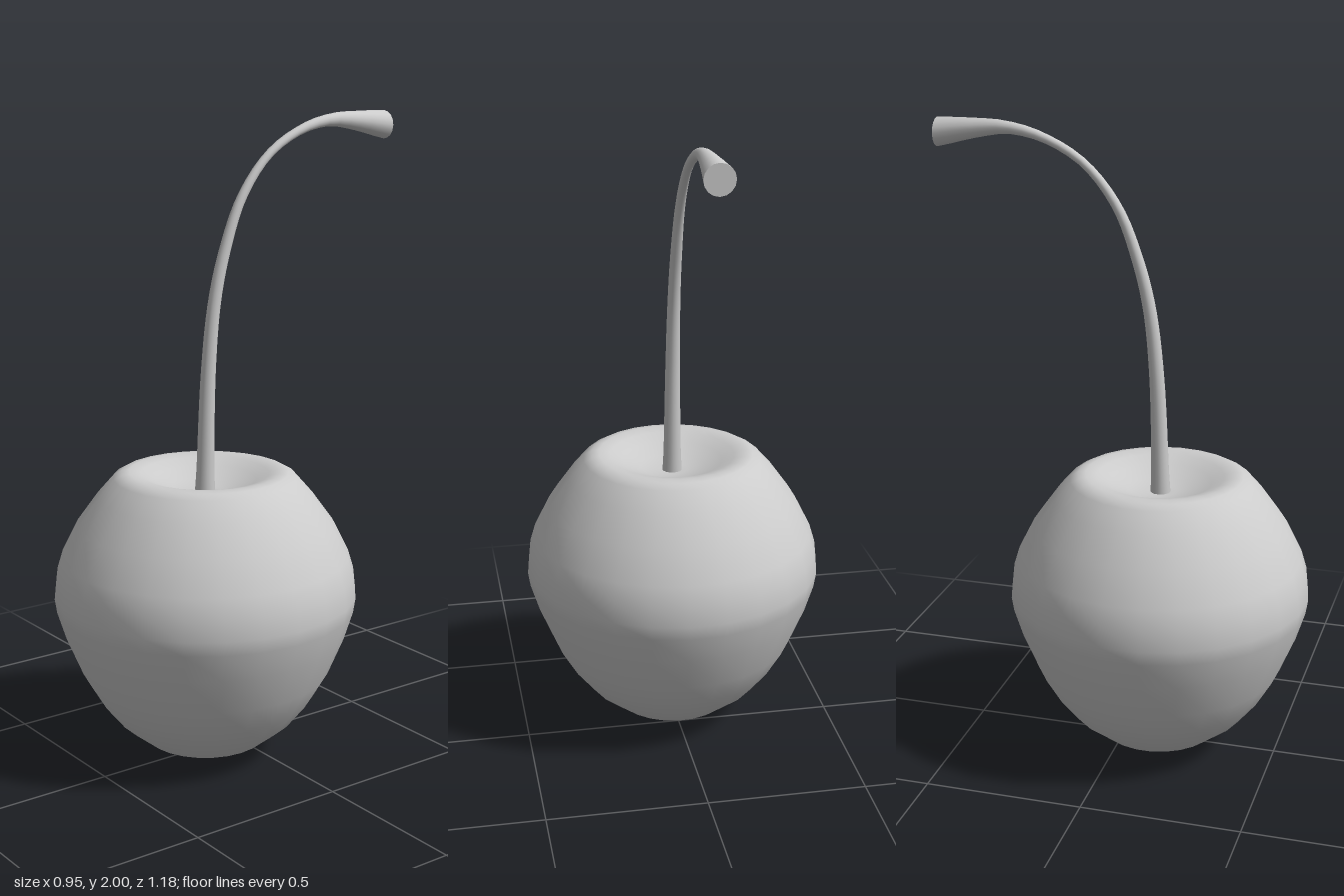
import * as THREE from 'three';

const CENTRE_Z = 0.115;

// Tube along a curve whose radius is interpolated from a list of values
function taperedTube(curve, radii, segments, sides) {
  const geo = new THREE.TubeGeometry(curve, segments, 1, sides, false);
  const pos = geo.attributes.position, nor = geo.attributes.normal;
  const p = new THREE.Vector3(), n = new THREE.Vector3();
  const arc = new THREE.Vector3();
  for (let i = 0; i <= segments; i++) {
    curve.getPointAt(i / segments, arc);
    const t = curve.getUtoTmapping(i / segments) * (radii.length - 1);
    const k = Math.min(Math.floor(t), radii.length - 2);
    const r = THREE.MathUtils.lerp(radii[k], radii[k + 1], t - k);
    for (let j = 0; j <= sides; j++) {
      const v = i * (sides + 1) + j;
      n.fromBufferAttribute(nor, v);
      p.copy(arc).addScaledVector(n, r);
      if (i === segments) p.z = arc.z; // square cut at the tip
      pos.setXYZ(v, p.x, p.y, p.z);
    }
  }
  return geo;
}

export function createModel() {
  const model = new THREE.Group();
  const grey = new THREE.MeshStandardMaterial({ color: 0xcccccc });
  grey.name = 'light grey';

  // Fruit: turned profile from the base to the dimple around the stem
  const profile = [
    [0, 0.004], [0.07, 0.008], [0.13, 0.02], [0.19, 0.048], [0.28, 0.12], [0.34, 0.195],
    [0.39, 0.28], [0.44, 0.4], [0.468, 0.49], [0.475, 0.535], [0.468, 0.6], [0.45, 0.66],
    [0.4, 0.76], [0.335, 0.85], [0.285, 0.907], [0.26, 0.921], [0.235, 0.925],
    [0.2, 0.917], [0.16, 0.898], [0.1, 0.875], [0.05, 0.866], [0, 0.863],
  ].map(([r, y]) => new THREE.Vector2(r, y));
  const fruit = new THREE.Mesh(new THREE.LatheGeometry(profile, 25, Math.PI / 2), grey);
  fruit.name = 'fruit';
  fruit.position.z = CENTRE_Z;
  model.add(fruit);

  // Stem: rises from the dimple, bends backwards and flares at the tip
  const path = [
    [0.84, 0.115], [0.93, 0.113], [1.24, 0.1], [1.45, 0.076], [1.6, 0.038], [1.757, -0.026],
    [1.88, -0.127], [1.95, -0.25], [1.977, -0.366], [1.971, -0.48], [1.956, -0.592],
  ].map(([y, z]) => new THREE.Vector3(0, y, z));
  const radii = [0.033, 0.028, 0.023, 0.02, 0.018, 0.015, 0.013, 0.014, 0.019, 0.031, 0.045];
  const stem = new THREE.Mesh(taperedTube(new THREE.CatmullRomCurve3(path), radii, 40, 16), grey);
  stem.name = 'stem';
  model.add(stem);

  // Flat end of the stem
  const tip = new THREE.Mesh(new THREE.CircleGeometry(0.045, 16), grey);
  tip.name = 'stemTip';
  tip.rotation.y = Math.PI;
  tip.position.set(0, 1.956, -0.592);
  model.add(tip);

  return model;
}
